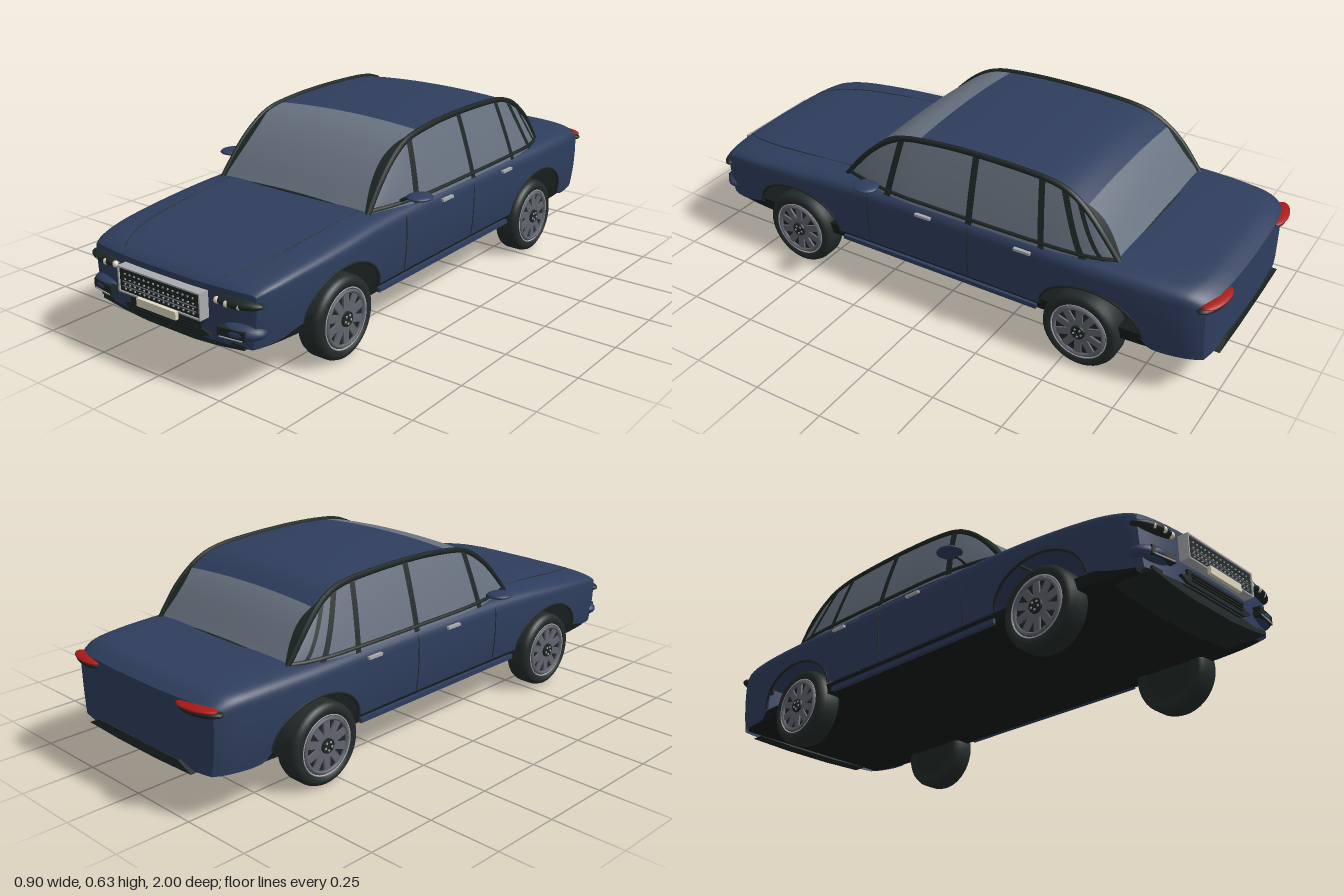
import * as THREE from 'three';

const mat = (name, color) => {
  const m = new THREE.MeshStandardMaterial({ color, side: THREE.DoubleSide });
  m.name = name;
  return m;
};
const V = (x, y, z) => new THREE.Vector3(x, y, z);

// smooth interpolation through [z, value] pairs
function curve(pts) {
  const n = pts.length - 1;
  const slope = (i) => {
    const a = pts[Math.max(0, i - 1)], b = pts[Math.min(n, i + 1)];
    return (b[1] - a[1]) / (b[0] - a[0]);
  };
  return (z) => {
    let i = 0;
    while (i < n - 1 && z > pts[i + 1][0]) i++;
    const [z0, a] = pts[i], [z1, b] = pts[i + 1], d = z1 - z0;
    const t = Math.min(1, Math.max(0, (z - z0) / d)), t2 = t * t, t3 = t2 * t;
    return a * (2 * t3 - 3 * t2 + 1) + b * (3 * t2 - 2 * t3) + d * (slope(i) * (t3 - 2 * t2 + t) + slope(i + 1) * (t3 - t2));
  };
}

// surface from rows of points
function sheet(rows) {
  const c = rows[0].length, idx = [];
  for (let i = 0; i < rows.length - 1; i++)
    for (let j = 0; j < c - 1; j++) {
      const a = i * c + j;
      idx.push(a, a + 1, a + c, a + 1, a + c + 1, a + c);
    }
  const g = new THREE.BufferGeometry().setFromPoints(rows.flat());
  g.setIndex(idx);
  g.computeVertexNormals();
  return g;
}
const steps = (n, f) => Array.from({ length: n + 1 }, (_, i) => f(i / n));
const lerp = THREE.MathUtils.lerp;

// body outline: half width, deck height, lower edge
const W = curve([[-0.985, 0.335], [-0.95, 0.356], [-0.85, 0.37], [-0.6, 0.381], [-0.3, 0.376], [0.3, 0.376], [0.6, 0.381], [0.85, 0.366], [0.93, 0.351], [0.955, 0.338]]);
const deck = curve([[-0.985, 0.375], [-0.94, 0.402], [-0.85, 0.412], [-0.66, 0.417], [0, 0.418], [0.385, 0.41], [0.6, 0.392], [0.8, 0.37], [0.9, 0.353], [0.94, 0.34], [0.955, 0.328]]);
const low = curve([[-0.985, 0.155], [-0.8, 0.155], [-0.77, 0.185], [-0.74, 0.185], [0.74, 0.185], [0.77, 0.185], [0.86, 0.165], [0.955, 0.155]]);
const ARCHES = [0.575, -0.59], MID = 0.31;
const arch = (z, c) => 0.185 + 0.125 * Math.sqrt(Math.max(0, 1 - ((z - c) / 0.18) ** 2));
const bottom = (z) => ARCHES.reduce((y, c) => (Math.abs(z - c) < 0.18 ? Math.max(y, arch(z, c)) : y), low(z));
const bow = (x, z) => z - Math.sign(z) * 0.035 * (Math.abs(x) / 0.36) ** 3 * THREE.MathUtils.smoothstep(Math.abs(z), 0.75, 0.95);
const sideX = (z, y) => (y < MID ? W(z) - 0.67 * (MID - y) ** 2
  : W(z) * Math.max(0, 1 - ((y - MID) / (deck(z) - MID)) ** 6) ** (1 / 6));
const deckY = (z, x) => MID + (deck(z) - MID) * (1 - (Math.abs(x) / W(z)) ** 6) ** (1 / 6);

function halfSection(z) {
  const b = bottom(z);
  const side = steps(6, (t) => { const y = lerp(b, MID, t); return [sideX(z, y), y]; });
  const top = steps(18, (t) => {
    const a = t * Math.PI / 2;
    return [W(z) * Math.max(0, Math.cos(a)) ** (1 / 3), MID + (deck(z) - MID) * Math.sin(a) ** (1 / 3)];
  });
  return side.concat(top.slice(1));
}

// cabin: centre line of roof, plan width at belt
const roofY = curve([[-0.66, 0.415], [-0.58, 0.52], [-0.51, 0.583], [-0.45, 0.612], [-0.35, 0.627], [-0.1, 0.632], [0.08, 0.621], [0.17, 0.603], [0.25, 0.556], [0.32, 0.49], [0.385, 0.41]]);
const belt = curve([[-0.66, 0.31], [-0.58, 0.34], [-0.45, 0.354], [0, 0.358], [0.15, 0.354], [0.28, 0.336], [0.385, 0.308]]);
const cabinSide = (z, v, out = 0) => {
  const y = lerp(0.395, roofY(z) - 0.014, v);
  return V(belt(z) - (y - 0.415) * 0.3 + 0.012 * v * (1 - v) + out, y, z);
};
const cabinTop = (z, u, up = 0) => {
  const e = cabinSide(z, 1);
  return V(e.x * u, roofY(z) - 0.014 * u * u + up, z + Math.sign(z + 0.2) * up);
};

export function createModel() {
  const car = new THREE.Group();
  car.name = 'car';
  const paint = mat('navy paint', 0x2f3e5e), glass = mat('grey glass', 0x687280), trim = mat('dark trim', 0x1d2725);
  const under = mat('underbody black', 0x141b1a), tyre = mat('tyre rubber', 0x232b2a), rim = mat('wheel grey', 0x62646e);
  const chrome = mat('chrome', 0xa9abae), lamp = mat('cream lamp', 0xe0d8c0), red = mat('red lamp', 0xa81a18);
  const add = (name, geo, m, x = 0, y = 0, z = 0, parent = car) => {
    const o = new THREE.Mesh(geo, m);
    o.name = name;
    o.position.set(x, y, z);
    parent.add(o);
    return o;
  };
  const box = (name, m, w, h, d, x, y, z, p) => add(name, new THREE.BoxGeometry(w, h, d), m, x, y, z, p);
  const tube = (name, pts, r, m, p) => add(name, new THREE.TubeGeometry(new THREE.CatmullRomCurve3(pts), 40, r, 6), m, 0, 0, 0, p);
  const blob = (name, m, sx, sy, sz, x, y, z, ry = 0) => {
    const o = add(name, new THREE.SphereGeometry(1, 24, 14), m, x, y, z);
    o.scale.set(sx, sy, sz);
    o.rotation.y = ry;
    return o;
  };

  // body shell with open wheel arches
  let zs = steps(90, (t) => lerp(-0.985, 0.955, t));
  for (const c of ARCHES) {
    zs = zs.filter((z) => Math.abs(z - c) > 0.182);
    zs.push(...steps(32, (t) => c - 0.18 * Math.cos(t * Math.PI)));
  }
  zs.push(0.945, -0.975);
  zs.sort((a, b) => a - b);
  add('bodyShell', sheet(zs.map((z) => {
    const h = halfSection(z);
    const full = h.concat(h.slice(0, -1).reverse().map(([x, y]) => [-x, y]));
    return full.map(([x, y]) => V(x, y, bow(x, z)));
  })), paint);
  for (const [name, z] of [['noseFace', 0.955], ['tailFace', -0.985]])
    add(name, sheet(halfSection(z).map(([x, y]) => steps(16, (t) => V(x * (2 * t - 1), y, bow(x * (2 * t - 1), z))))), paint);

  // floor
  const fz = steps(40, (t) => lerp(-0.965, 0.93, t));
  const edge = (s) => fz.map((z) => new THREE.Vector2(s * (W(z) - 0.026), bow(0.33, z)));
  const floor = new THREE.ExtrudeGeometry(new THREE.Shape([...edge(1), ...edge(-1).reverse()]), { depth: 0.038, bevelEnabled: false });
  add('floor', floor.rotateX(Math.PI / 2), under, 0, 0.19, 0);

  // front chin and rear valance
  const lip = (name, pts, depth, z, m) => add(name, new THREE.ExtrudeGeometry(
    new THREE.Shape([...pts, ...pts.map(([x, y]) => [-x, y]).reverse()].map((p) => new THREE.Vector2(...p))), { depth, bevelEnabled: false }), m, 0, 0, z);
  lip('frontChin', [[0.3, 0.165], [0.3, 0.152], [0.2, 0.138], [0.1, 0.13]], 0.14, 0.803, trim);
  lip('lowerIntake', [[0.15, 0.205], [0.148, 0.186], [0.185, 0.175], [0.15, 0.158]], 0.03, 0.932, trim);
  lip('rearValance', [[0.2, 0.178], [0.26, 0.152], [0.1, 0.146]], 0.05, -0.989, trim);
  for (const y of [0.172, 0.182, 0.192]) box('intakeSlat', under, 0.27, 0.003, 0.006, 0, y, 0.964);

  // grille and plate
  box('grilleBack', trim, 0.336, 0.076, 0.04, 0, 0.266, 0.962);
  for (const y of [0.226, 0.306]) box('grilleFrame', chrome, 0.346, 0.005, 0.045, 0, y, 0.964);
  for (const x of [-0.171, 0.171]) box('grilleFrame', chrome, 0.005, 0.08, 0.045, x, 0.266, 0.964);
  for (const y of [0.246, 0.261]) box('grilleSlat', rim, 0.31, 0.003, 0.006, 0, y, 0.983);
  for (const y of [0.239, 0.254, 0.27, 0.287])
    for (let i = 0; i < 15; i++) box('grilleStud', chrome, 0.005, 0.004, 0.005, (i - 7) * 0.0205, y, 0.983);
  box('plate', lamp, 0.166, 0.026, 0.012, 0, 0.217, 0.992);

  // cabin shell
  const top = (name, z0, z1, m) => add(name, sheet(steps(28, (t) => steps(20, (u) => cabinTop(lerp(z0, z1, t), 2 * u - 1)))), m);
  top('windshield', 0.385, 0.09, glass);
  top('roof', 0.09, -0.53, paint);
  top('rearWindow', -0.53, -0.66, glass);
  for (const z of [0.385, -0.66]) tube('screenSeal', steps(8, (u) => cabinTop(z, 2 * u - 1)), 0.005, trim);

  for (const s of [1, -1]) {
    const side = new THREE.Group();
    side.name = s > 0 ? 'leftSide' : 'rightSide';
    side.scale.x = s;
    car.add(side);
    add('sideWindows', sheet(steps(60, (t) => steps(8, (v) => cabinSide(lerp(-0.66, 0.385, t), v)))), glass, 0, 0, 0, side);
    tube('roofRail', steps(30, (t) => cabinSide(lerp(-0.66, 0.385, t), 1)), 0.01, trim, side);
    tube('beltTrim', steps(20, (t) => { const z = lerp(-0.65, 0.375, t); return V(belt(z) + 0.003, 0.411, z); }), 0.007, trim, side);
    // pillars: belt position, roof position, half width
    for (const [z0, z1, w] of [[0.185, 0.155, 0.013], [-0.143, -0.135, 0.012], [-0.41, -0.375, 0.011], [-0.555, -0.455, 0.013], [-0.64, -0.51, 0.012]])
      add('pillar', sheet(steps(10, (v) => [-w, w].map((d) => cabinSide(lerp(z0, z1, v) + d, v, 0.005)))), trim, 0, 0, 0, side);
    // screen frames
    for (const [z0, z1, n] of [[0.385, 0.16, 'frontScreenFrame'], [-0.52, -0.655, 'rearScreenFrame']])
      add(n, sheet(steps(14, (t) => [0.97 - 0.08 * Math.sin(t * Math.PI), 1].map((u) => cabinTop(lerp(z0, z1, t), u, 0.004)))), trim, 0, 0, 0, side);

    // panel gaps, handles, sills and arch lips
    for (const z of [0.26, -0.14])
      tube('doorGap', steps(10, (t) => { const y = lerp(0.19, 0.4, t); return V(sideX(z, y), y, z); }), 0.0018, trim, side);
    tube('hoodGap', [[0.278, 0.385], [0.272, 0.6], [0.262, 0.75], [0.235, 0.87], [0.2, 0.935]].map(([x, z]) => V(x, deckY(z, x), bow(x, z))), 0.0018, trim, side);
    for (const z of [0.03, -0.35]) box('doorHandle', chrome, 0.012, 0.009, 0.06, sideX(z, 0.37) + 0.004, 0.372, z, side);
    box('sill', paint, 0.016, 0.016, 0.78, 0.354, 0.159, -0.005, side);
    for (const c of ARCHES)
      tube('archLip', steps(20, (t) => {
        const z = c - 0.18 * Math.cos(t * Math.PI), y = arch(z, c);
        return V(sideX(z, y) - 0.002, y, z);
      }), 0.005, trim, side);

    // mirror
    blob('mirror', paint, 0.042, 0.011, 0.045, s * 0.407, 0.44, 0.235);
    tube('mirrorStalk', [V(0.335, 0.412, 0.25), V(0.36, 0.428, 0.245), V(0.39, 0.438, 0.238)], 0.007, trim, side);

    // headlights and bumper ends
    blob('headlightHousing', trim, 0.08, 0.018, 0.032, s * 0.278, 0.293, 0.933, s * 0.2);
    [0.214, 0.254, 0.294].forEach((x, i) => blob('headlight', lamp, 0.011, 0.011, 0.01, s * x, 0.292, 0.957 + 0.006 * Math.sin(i * 1.5) - i * 0.003));
    blob('bumperEnd', paint, 0.07, 0.028, 0.045, s * 0.285, 0.205, 0.922, s * 0.25);
    const fog = box('fogLight', trim, 0.096, 0.03, 0.024, s * 0.27, 0.204, 0.955);
    fog.rotation.y = s * 0.15;
    const bar = box('fogTrim', chrome, 0.08, 0.003, 0.006, s * 0.272, 0.191, 0.967);
    bar.rotation.y = s * 0.15;

    // tail lamps
    blob('tailHousing', trim, 0.08, 0.016, 0.034, s * 0.28, 0.351, -0.957, -s * 0.2);
    blob('tailLamp', red, 0.077, 0.01, 0.033, s * 0.272, 0.362, -0.965, -s * 0.15);

    // wheels, axle along x with outer face outward
    for (const z of [0.575, -0.56]) {
      const wheel = new THREE.Group();
      wheel.name = z > 0 ? 'frontWheel' : 'rearWheel';
      wheel.position.set(0.335, 0.136, z);
      wheel.rotation.z = -Math.PI / 2;
      side.add(wheel);
      const prof = [[0.09, -0.045], [0.118, -0.045], [0.131, -0.038], [0.136, -0.025], [0.136, 0.025], [0.131, 0.038], [0.118, 0.046], [0.098, 0.042], [0.096, 0.03]];
      add('tyre', new THREE.LatheGeometry(prof.map((p) => new THREE.Vector2(...p)), 40), tyre, 0, 0, 0, wheel);
      add('wheelDisc', new THREE.CylinderGeometry(0.098, 0.098, 0.076, 40), trim, 0, -0.002, 0, wheel);
      const ring = (r, t, m) => { add('rimRing', new THREE.TorusGeometry(r, t, 6, 40), m, 0, 0.041, 0, wheel).rotation.x = Math.PI / 2; };
      ring(0.099, 0.003, chrome);
      ring(0.088, 0.007, rim);
      for (let i = 0; i < 10; i++) {
        const a = i * Math.PI / 5;
        box('spoke', rim, 0.07, 0.01, 0.024, Math.cos(a) * 0.054, 0.038, -Math.sin(a) * 0.054, wheel).rotation.y = a;
      }
      add('hub', new THREE.CylinderGeometry(0.024, 0.026, 0.014, 20), trim, 0, 0.043, 0, wheel);
      for (let i = 0; i < 5; i++) {
        const a = i * Math.PI * 0.4;
        add('wheelNut', new THREE.CylinderGeometry(0.004, 0.004, 0.008, 6), chrome, Math.cos(a) * 0.014, 0.048, Math.sin(a) * 0.014, wheel);
      }
    }
  }
  return car;
}
